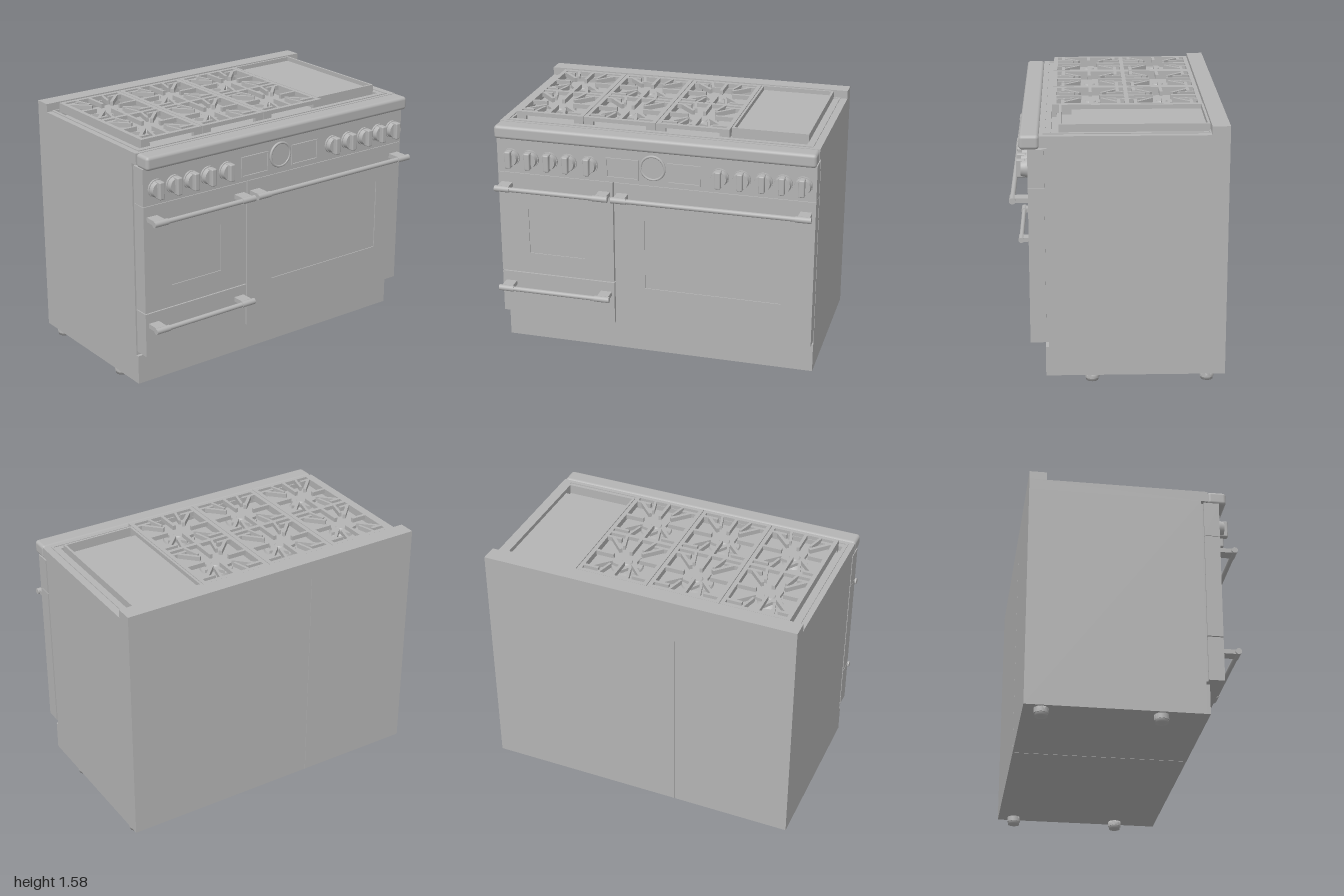
import * as THREE from 'three';
import { RoundedBoxGeometry } from 'three/addons/geometries/RoundedBoxGeometry.js';

const steel = new THREE.MeshStandardMaterial({ color: 0xb4b4b4 });
steel.name = 'steel';

export function createModel() {
  const root = new THREE.Group();
  root.name = 'range';

  const add = (name, geo, x = 0, y = 0, z = 0, parent = root) => {
    const m = new THREE.Mesh(geo, steel);
    m.name = name;
    m.position.set(x, y, z);
    parent.add(m);
    return m;
  };
  // Box given by its limits on each axis
  const box = (name, x0, x1, y0, y1, z0, z1, parent = root) =>
    add(name, new THREE.BoxGeometry(x1 - x0, y1 - y0, z1 - z0),
      (x0 + x1) / 2, (y0 + y1) / 2, (z0 + z1) / 2, parent);
  const rect = (P, x0, x1, y0, y1) => {
    const p = new P();
    p.moveTo(x0, y0); p.lineTo(x1, y0); p.lineTo(x1, y1); p.lineTo(x0, y1); p.closePath();
    return p;
  };
  // Upright plate with rectangular openings
  const plate = (name, outer, holes, z0, z1) => {
    const s = rect(THREE.Shape, ...outer);
    holes.forEach(h => s.holes.push(rect(THREE.Path, ...h)));
    return add(name, new THREE.ExtrudeGeometry(s, { depth: z1 - z0, bevelEnabled: false }), 0, 0, z0);
  };
  // Flat frame lying in the xz plane; limits are x0, x1, z0, z1
  const flat = (name, [a, b, c, d], holes, y0, y1, parent = root) => {
    const s = rect(THREE.Shape, a, b, -d, -c);
    holes.forEach(([e, f, g, h]) => s.holes.push(rect(THREE.Path, e, f, -h, -g)));
    const geo = new THREE.ExtrudeGeometry(s, { depth: y1 - y0, bevelEnabled: false });
    return add(name, geo.rotateX(-Math.PI / 2), 0, y0, 0, parent);
  };

  // Cabinet in two halves with a narrow seam
  box('cabinetSmall', -1, -0.252, 0.05, 1.46, -0.635, 0.415);
  box('cabinetLarge', -0.248, 1, 0.05, 1.46, -0.635, 0.415);
  box('cabinetSeam', -0.252, -0.248, 0.054, 1.46, -0.631, 0.411);
  box('kickPlate', -1, 1, 0.05, 0.235, 0.415, 0.435);
  box('doorSeal', -0.985, 0.985, 0.26, 1.45, 0.415, 0.43);

  // Feet
  const footProfile = [[0, 0], [0.037, 0], [0.037, 0.018], [0.043, 0.018], [0.043, 0.05], [0, 0.05]]
    .map(p => new THREE.Vector2(...p));
  for (const x of [-0.945, 0.945]) for (const z of [-0.53, 0.16]) {
    const g = new THREE.CylinderGeometry(0.043, 0.043, 0.034, 24);
    add('foot', g, x, 0.035, z);
    add('footPad', new THREE.LatheGeometry(footProfile, 24), x, 0, z);
  }

  // Doors with recessed windows, and the drawer
  const windowL = [-0.81, -0.445, 0.685, 0.985], windowR = [-0.055, 0.805, 0.53, 0.985];
  plate('smallDoor', [-1, -0.256, 0.548, 1.218], [windowL], 0.43, 0.525);
  plate('largeDoor', [-0.248, 1, 0.265, 1.218], [windowR], 0.43, 0.525);
  box('drawerFront', -1, -0.256, 0.265, 0.542, 0.43, 0.525);
  for (const w of [windowL, windowR])
    box('ovenWindow', w[0], w[1], w[2], w[3], 0.5, 0.519);

  // Handles: a round bar held by a clamp at each end
  const handle = (x0, x1, y) => {
    const g = new THREE.Group();
    g.name = 'handle';
    root.add(g);
    const bar = (name, r, a, b) =>
      add(name, new THREE.CylinderGeometry(r, r, b - a, 20).rotateZ(Math.PI / 2), (a + b) / 2, y, 0.616, g);
    bar('handleBar', 0.015, x0, x1);
    for (const a of [x0, x1 - 0.095]) {
      bar('handleClamp', 0.019, a, a + 0.095);
      box('handleBracket', a + 0.012, a + 0.083, y - 0.014, y + 0.014, 0.525, 0.612, g);
    }
  };
  handle(-0.99, -0.262, 1.14);
  handle(-0.24, 0.99, 1.14);
  handle(-0.99, -0.262, 0.465);

  // Control panel with knobs, clock and two displays
  box('controlPanel', -1, 1, 1.221, 1.45, 0.43, 0.525);
  const disc = (name, r0, r1, h, x, y, z) =>
    add(name, new THREE.CylinderGeometry(r0, r1, h, 40).rotateX(Math.PI / 2), x, y, z + h / 2);
  for (const x of [-0.91, -0.785, -0.662, -0.54, -0.405, 0.415, 0.548, 0.68, 0.8, 0.92]) {
    disc('knobSkirt', 0.057, 0.057, 0.012, x, 1.32, 0.525);
    disc('knobBody', 0.047, 0.052, 0.028, x, 1.32, 0.537);
    add('knobGrip', new RoundedBoxGeometry(0.036, 0.108, 0.055, 3, 0.008), x, 1.32, 0.565);
  }
  disc('clockFace', 0.07, 0.07, 0.008, 0, 1.338, 0.525);
  add('clockRim', new THREE.TorusGeometry(0.074, 0.008, 10, 48), 0, 1.338, 0.53);
  for (const s of [-1, 1]) {
    const [a, b] = s < 0 ? [-0.297, -0.09] : [0.09, 0.297];
    plate('displayFrame', [a, b, 1.248, 1.378], [[a + 0.009, b - 0.009, 1.257, 1.369]], 0.525, 0.533);
  }

  // Cooktop: open slab, sunken tray, bullnose and backguard
  flat('cooktop', [-1, 1, -0.635, 0.458], [[-0.94, 0.91, -0.53, 0.39]], 1.46, 1.528);
  flat('cooktopLip', [-0.965, 0.955, -0.53, 0.435], [[-0.953, 0.943, -0.53 + 0.012, 0.423]], 1.528, 1.533);
  box('burnerTray', -0.94, 0.91, 1.46, 1.495, -0.53, 0.39);
  add('bullnose', new RoundedBoxGeometry(2, 0.084, 0.115, 4, 0.02), 0, 1.49, 0.515);
  box('backguard', -1, 1, 1.528, 1.58, -0.635, -0.53);

  // Burner with a five-pointed cap
  const star = new THREE.Shape();
  for (let i = 0; i < 10; i++) {
    const r = i % 2 ? 0.058 : 0.1, a = Math.PI / 2 + i * Math.PI / 5;
    star[i ? 'lineTo' : 'moveTo'](r * Math.cos(a), r * Math.sin(a));
  }
  star.closePath();
  const starGeo = new THREE.ExtrudeGeometry(star, { depth: 0.02, bevelEnabled: false }).rotateX(-Math.PI / 2);

  // Finger of a grate between two points of the xz plane
  const finger = (g, x0, z0, x1, z1, w = 0.02) => {
    const m = add('grateFinger', new THREE.BoxGeometry(Math.hypot(x1 - x0, z1 - z0), 0.028, w),
      (x0 + x1) / 2, 1.561, (z0 + z1) / 2, g);
    m.rotation.y = -Math.atan2(z1 - z0, x1 - x0);
  };

  [-0.71, -0.25, 0.21].forEach((cx, col) => {
    const g = new THREE.Group();
    g.name = 'grate';
    root.add(g);
    const x0 = cx - (col ? 0.228 : 0.205), x1 = cx + 0.228;
    const t = 0.026;
    flat('grateFrame', [x0, x1, -0.522, 0.388],
      [[x0 + t, x1 - t, -0.496, -0.079], [x0 + t, x1 - t, -0.053, 0.362]], 1.55, 1.575, g);
    // Deep side rails and corner legs
    for (const x of [x0, x1 - 0.015]) box('grateRail', x, x + 0.015, 1.52, 1.574, -0.52, 0.386, g);
    for (const x of [x0, x1 - 0.06]) for (const z of [-0.522, 0.363])
      box('grateLeg', x, x + 0.06, 1.495, 1.555, z, z + 0.025, g);

    for (const cz of [-0.288, 0.154]) {
      add('burnerBase', new THREE.CylinderGeometry(0.06, 0.075, 0.02, 32), cx, 1.505, cz);
      if (col) add('burnerRing', new THREE.CylinderGeometry(0.095, 0.1, 0.012, 40), cx, 1.509, cz);
      add('burnerStar', starGeo, cx, 1.515, cz);
      add('burnerCap', new THREE.CylinderGeometry(0.03, 0.036, 0.008, 24), cx, 1.538, cz);
      for (const s of [-1, 1]) {
        // Straight fingers along both axes
        finger(g, cx, cz + s * 0.21, cx, cz + s * 0.055);
        finger(g, s < 0 ? x0 : x1, cz, cx + s * 0.085, cz);
        for (const u of [-1, 1]) {
          // Branching fingers toward each corner
          finger(g, cx + s * 0.17, cz + u * 0.17, cx + s * 0.07, cz + u * 0.065);
          finger(g, s < 0 ? x0 : x1, cz + u * 0.17, cx + s * 0.11, cz + u * 0.17);
          finger(g, cx + s * 0.095, cz + u * 0.21, cx + s * 0.065, cz + u * 0.1, 0.016);
        }
      }
    }
  });

  // Griddle: walled plate with a grease trough at the front
  flat('griddleWall', [0.442, 0.912, -0.525, 0.345], [[0.456, 0.898, -0.511, 0.331]], 1.495, 1.575);
  box('griddlePlate', 0.456, 0.898, 1.495, 1.548, -0.511, 0.27);
  box('griddleTrough', 0.456, 0.898, 1.495, 1.515, 0.27, 0.331);

  return root;
}
